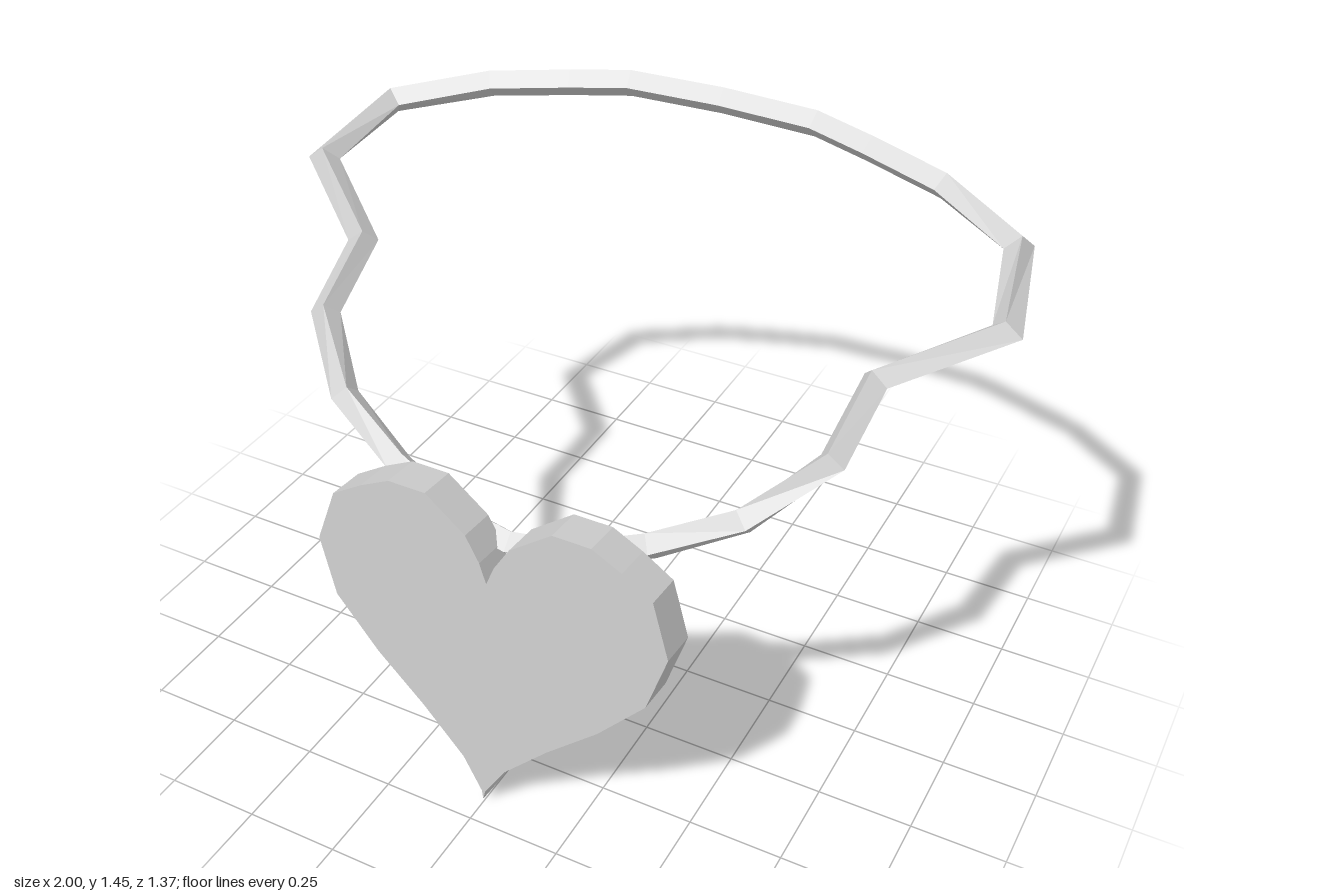
import * as THREE from 'three';

const silver = new THREE.MeshStandardMaterial({ color: 0xcccccc });
silver.name = 'silver';

// Closed band with a diamond cross-section, mitred at each bend
function makeBand(points, radius) {
  const n = points.length;
  const outward = (a, b) => new THREE.Vector2(a.z - b.z, b.x - a.x).normalize();
  const rings = points.map((p, i) => {
    const prev = points[(i + n - 1) % n], next = points[(i + 1) % n];
    const n1 = outward(prev, p);
    const mitre = n1.clone().add(outward(p, next)).normalize();
    const s = radius / mitre.dot(n1);
    const side = new THREE.Vector3(mitre.x * s, 0, mitre.y * s);
    // The upper ridge leans so it stays square to the run of the band
    const tangent = next.clone().sub(prev).normalize();
    const up = new THREE.Vector3(0, 1, 0).projectOnPlane(tangent).setLength(radius * 1.04);
    return [p.clone().add(up), p.clone().add(side), p.clone().sub(up), p.clone().sub(side)];
  });
  const pos = [];
  const push = (...vs) => vs.forEach((v) => pos.push(v.x, v.y, v.z));
  for (let i = 0; i < n; i++) {
    const a = rings[i], b = rings[(i + 1) % n];
    for (let j = 0; j < 4; j++) {
      const k = (j + 1) % 4;
      push(a[j], a[k], b[k], a[j], b[k], b[j]);
    }
  }
  const g = new THREE.BufferGeometry();
  g.setAttribute('position', new THREE.Float32BufferAttribute(pos, 3));
  g.computeVertexNormals();
  return g;
}

export function createModel() {
  const group = new THREE.Group();
  group.name = 'necklace';

  // Neck band: left half from front centre to back centre, then mirrored
  const half = [
    [0, 0.72, 0.5], [0.17, 0.742, 0.487], [0.35, 0.81, 0.45], [0.55, 0.908, 0.38],
    [0.7, 1.03, 0.232], [0.715, 1.135, 0.025], [0.958, 1.237, -0.158], [0.895, 1.317, -0.415],
    [0.655, 1.365, -0.545], [0.435, 1.39, -0.605], [0.27, 1.408, -0.642], [0, 1.41, -0.653],
  ].map((p) => new THREE.Vector3(...p));
  const mirrored = half.slice(1, -1).reverse().map((p) => new THREE.Vector3(-p.x, p.y, p.z));
  // Front -> left -> back -> right, counter-clockwise seen from above
  const band = new THREE.Mesh(makeBand([...half, ...mirrored], 0.036), silver);
  band.name = 'neckBand';
  group.add(band);

  // Heart pendant: faceted outline, mirrored and extruded, leaning back
  const right = [
    [0, 0], [0.005, 0.026], [0.06, 0.115], [0.18, 0.233], [0.315, 0.35], [0.437, 0.482],
    [0.485, 0.637], [0.437, 0.782], [0.355, 0.832], [0.275, 0.871], [0.172, 0.871],
    [0.06, 0.79], [0.02, 0.725], [0, 0.672],
  ].map((p) => new THREE.Vector2(...p));
  const left = right.slice(1, -1).reverse().map((p) => new THREE.Vector2(-p.x, p.y));
  const heart = new THREE.Mesh(
    new THREE.ExtrudeGeometry(new THREE.Shape([...right, ...left]), { depth: 0.106, bevelEnabled: false }),
    silver
  );
  heart.name = 'heartPendant';
  heart.position.set(0, 0.002, 0.58);
  heart.rotation.x = -0.098;
  group.add(heart);

  return group;
}
